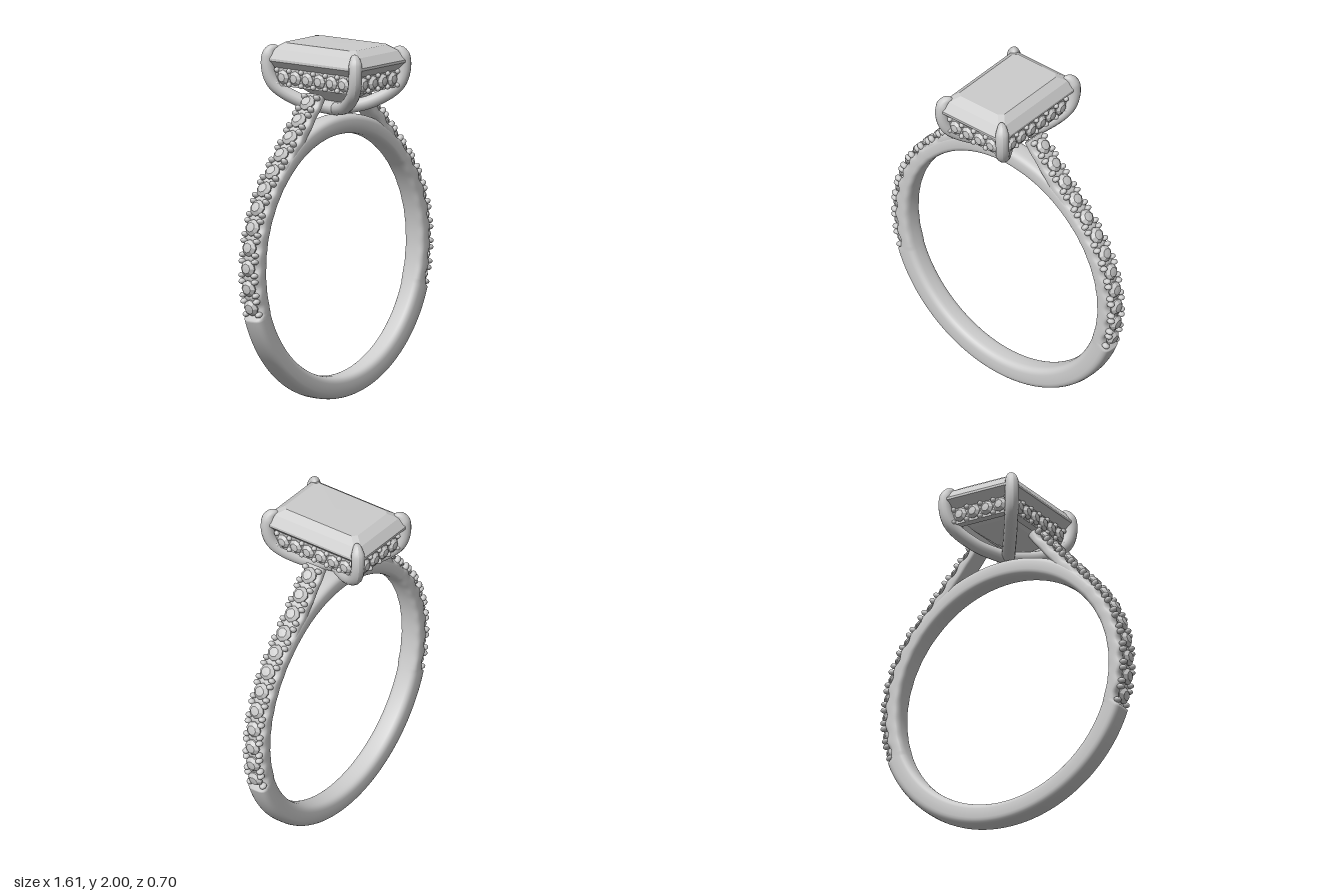
import * as THREE from 'three';

const CY = 0.808, INNER = 0.68, OUTER = 0.808, PITCH = 0.117, STONES = 12;
const START = THREE.MathUtils.degToRad(-15.2), BEND = THREE.MathUtils.degToRad(42);
const PAVE_END = START - 0.075;
const ARC = (BEND - START) * 0.8; // arc length before the shoulder runs straight

const silver = new THREE.MeshStandardMaterial({ color: 0xcccccc });
silver.name = 'silver';

function add(parent, name, geometry) {
  const mesh = new THREE.Mesh(geometry, silver);
  mesh.name = name;
  parent.add(mesh);
  return mesh;
}

function build(positions, index, flat) {
  let g = new THREE.BufferGeometry();
  g.setAttribute('position', new THREE.Float32BufferAttribute(positions, 3));
  g.setIndex(index);
  if (flat) g = g.toNonIndexed();
  g.computeVertexNormals();
  return g;
}

// Sweep a soft rectangular section through frames of inner and outer points
function sweep(frames, closed) {
  const N = 28, p = [], idx = [];
  const soft = v => Math.sign(v) * Math.pow(Math.abs(v), 0.6);
  for (const { a, b, w } of frames) {
    for (let j = 0; j < N; j++) {
      const t = (j / N) * Math.PI * 2, k = 0.5 + 0.5 * soft(Math.sin(t));
      p.push(a.x + (b.x - a.x) * k, a.y + (b.y - a.y) * k, w * soft(Math.cos(t)));
    }
  }
  const F = frames.length;
  for (let i = 0; i < (closed ? F : F - 1); i++) {
    for (let j = 0; j < N; j++) {
      const i2 = (i + 1) % F, j2 = (j + 1) % N;
      const A = i * N + j, B = i * N + j2, C = i2 * N + j, D = i2 * N + j2;
      idx.push(A, B, C, B, D, C);
    }
  }
  return build(p, idx, false);
}

// Stack of cut-corner rectangles [halfX, halfZ, y, cut], bottom to top
function steppedGem(levels) {
  const p = [], idx = [];
  for (const [x, z, y, c] of levels) {
    const ring = [[x, z - c], [x - c, z], [c - x, z], [-x, z - c], [-x, c - z], [c - x, -z], [x - c, -z], [x, c - z]];
    for (const [px, pz] of ring) p.push(px, y, pz);
  }
  for (let i = 0; i < levels.length - 1; i++) {
    for (let j = 0; j < 8; j++) {
      const A = i * 8 + j, B = i * 8 + (j + 1) % 8;
      idx.push(A, A + 8, B, B, A + 8, B + 8);
    }
  }
  return build(p, idx, true);
}

// Point and outward direction on the stone line at distance s from the first stone
function stoneLine(s, r = 0.8) {
  const th = Math.min(START + s / 0.8, BEND);
  const n = new THREE.Vector3(Math.cos(th), Math.sin(th), 0);
  const t = new THREE.Vector3(-n.y, n.x, 0);
  const point = n.clone().multiplyScalar(r).addScaledVector(t, Math.max(0, s - ARC));
  point.y += CY;
  return { point, n, t };
}

// Metal height below the stones: scooped out beside each stone
const seatRadius = s => 0.778 - 0.016 * (0.5 + 0.5 * Math.cos((s / PITCH) * Math.PI * 2));

function bandGeometry() {
  const frames = [], F = 360;
  for (let i = 0; i < F; i++) {
    const th = (i / F) * Math.PI * 2, c = Math.cos(th), s = Math.sin(th);
    const phi = Math.atan2(s, Math.abs(c));
    let r = OUTER;
    if (phi > PAVE_END) r = seatRadius((phi - START) * 0.8);
    if (phi > BEND) r = 0.768 + 0.022 * THREE.MathUtils.smoothstep(phi, BEND, 1.2);
    frames.push({
      a: new THREE.Vector3(c * INNER, CY + s * INNER, 0),
      b: new THREE.Vector3(c * r, CY + s * r, 0), w: 0.065,
    });
  }
  return sweep(frames, true);
}

function shoulderGeometry() {
  const frames = [], n = 60, length = 0.575;
  for (let i = 0; i <= n; i++) {
    const s = ARC - 0.02 + (i / n) * length;
    const depth = 0.09 - 0.03 * (i / n);
    const b = stoneLine(s, seatRadius(s)).point;
    frames.push({ a: stoneLine(s, 0.775 - depth).point, b, w: 0.062 });
  }
  const cap = f => {
    const m = f.a.clone().lerp(f.b, 0.5);
    return { a: m, b: m, w: 0 };
  };
  frames.unshift(cap(frames[0]));
  frames.push(cap(frames[frames.length - 1]));
  return sweep(frames, false);
}

// Corner claw tapering to a rounded tip, running down to the centre of the basket
function clawGeometry(sx, sz) {
  const pts = [[0.175, 1.975, 0.27], [0.205, 1.957, 0.3], [0.218, 1.88, 0.313], [0.198, 1.77, 0.285],
    [0.115, 1.675, 0.165], [0, 1.628, 0]];
  const curve = new THREE.CatmullRomCurve3(pts.map(([x, y, z]) => new THREE.Vector3(x * sx, y, z * sz)));
  const n = 60, radial = 14;
  const g = new THREE.TubeGeometry(curve, n, 0.038, radial);
  const pos = g.attributes.position, v = new THREE.Vector3();
  for (let i = 0; i <= n; i++) {
    const c = curve.getPointAt(i / n), k = Math.min(1, Math.sqrt(i / n / 0.12));
    for (let j = 0; j <= radial; j++) {
      const q = i * (radial + 1) + j;
      v.fromBufferAttribute(pos, q).sub(c).multiplyScalar(k).add(c);
      pos.setXYZ(q, v.x, v.y, v.z);
    }
  }
  g.computeVertexNormals();
  return g;
}

export function createModel() {
  const model = new THREE.Group();
  model.name = 'ring';
  const UP = new THREE.Vector3(0, 1, 0);

  // Small round-cut stone, girdle at the origin
  const smallStone = new THREE.LatheGeometry(
    [[0, -0.035], [0.048, -0.008], [0.048, 0], [0.028, 0.018], [0, 0.02]].map(([x, y]) => new THREE.Vector2(x, y)), 8).toNonIndexed();
  smallStone.computeVertexNormals();
  const bead = new THREE.SphereGeometry(1, 10, 8);

  add(model, 'band', bandGeometry());

  // Two shoulders with their rows of stones and gripping beads
  for (const turn of [0, Math.PI]) {
    const side = new THREE.Group();
    side.name = turn ? 'rightShoulder' : 'leftShoulder';
    side.rotation.y = turn;
    model.add(side);
    add(side, 'shoulder', shoulderGeometry());
    for (let i = 0; i < STONES; i++) {
      const { point, n } = stoneLine(i * PITCH, 0.785);
      const stone = add(side, 'bandStone', smallStone);
      stone.position.copy(point);
      stone.quaternion.setFromUnitVectors(UP, n);
      for (const ds of [-0.04, 0.04]) for (const sz of [-1, 1]) {
        const f = stoneLine(i * PITCH + ds, 0.78);
        const b = add(side, 'bandBead', bead);
        b.position.copy(f.point).setZ(sz * 0.044);
        b.quaternion.setFromUnitVectors(UP, f.n);
        b.scale.set(0.016, 0.023, 0.02);
      }
    }
  }

  // Large step-cut stone
  add(model, 'centreStone', steppedGem([
    [0.004, 0.1, 1.67, 0.002], [0.12, 0.21, 1.76, 0.02], [0.19, 0.29, 1.85, 0.025], [0.24, 0.34, 1.9, 0.03],
    [0.24, 0.34, 1.914, 0.03], [0.205, 0.302, 1.965, 0.028], [0.16, 0.25, 1.998, 0.025], [0, 0, 2, 0],
  ]));

  // Stone-set rail under the centre stone
  const rail = new THREE.Group();
  rail.name = 'rail';
  model.add(rail);
  for (let k = 0; k < 4; k++) {
    const long = k % 2 === 1, count = long ? 6 : 4, dist = long ? 0.2 : 0.295, step = 0.086;
    const wall = new THREE.Group();
    wall.name = 'railSide';
    wall.rotation.y = k * Math.PI / 2;
    rail.add(wall);
    const bar = add(wall, 'railBar', new THREE.BoxGeometry(count * step + 0.025, 0.1, 0.045));
    bar.position.set(0, 1.81, dist - 0.0225);
    for (let i = 0; i < count; i++) {
      const stone = add(wall, 'railStone', smallStone);
      stone.position.set((i - (count - 1) / 2) * step, 1.81, dist + 0.004);
      stone.rotation.x = Math.PI / 2;
      stone.scale.setScalar(0.86);
    }
    for (let i = 0; i <= count; i++) for (const y of [1.772, 1.848]) {
      const b = add(wall, 'railBead', bead);
      b.position.set((i - count / 2) * step, y, dist + 0.003);
      b.scale.set(0.015, 0.015, 0.017);
    }
  }

  // Four claws
  for (const sx of [-1, 1]) for (const sz of [-1, 1]) add(model, 'claw', clawGeometry(sx, sz));

  return model;
}
